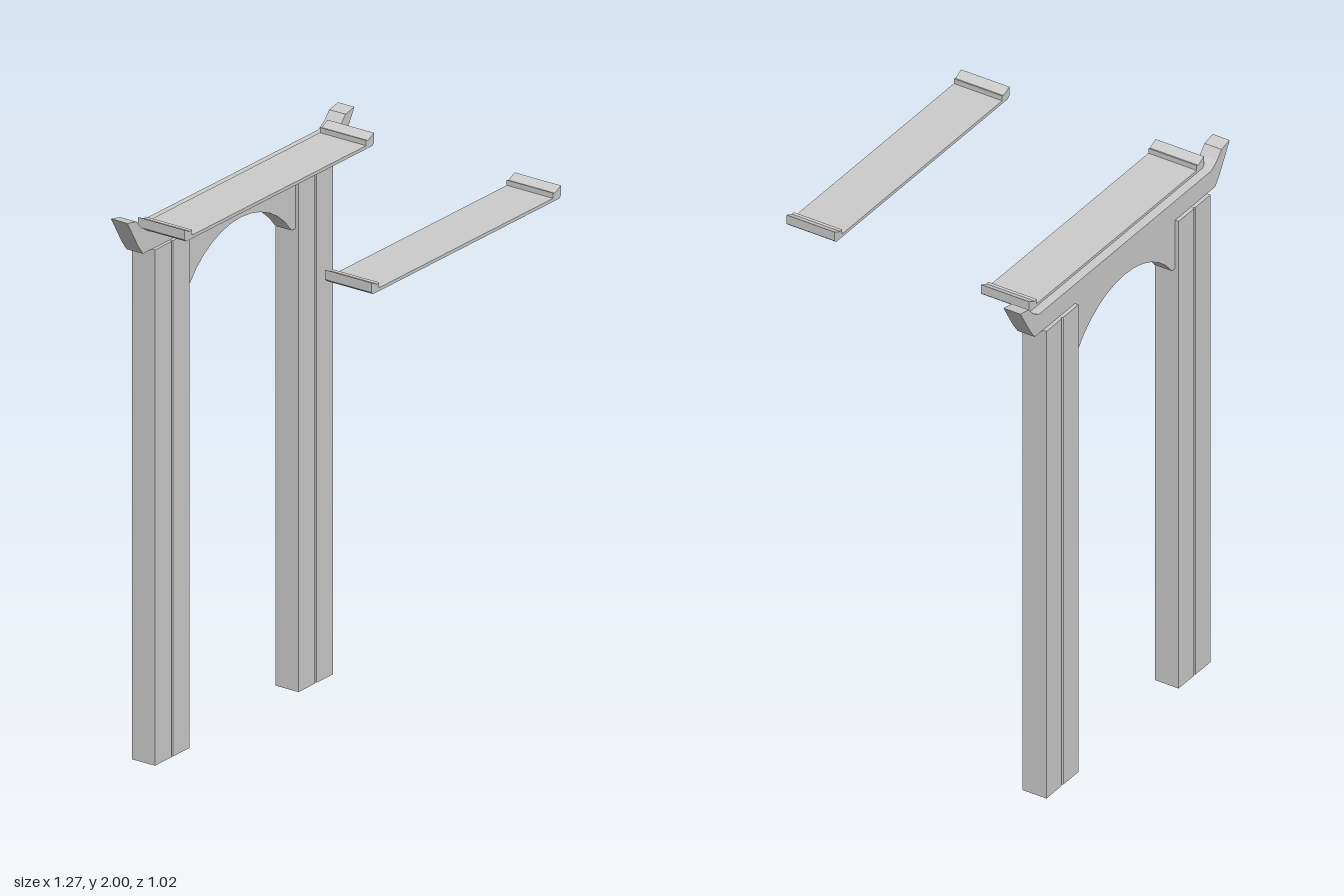
import * as THREE from 'three';

const material = new THREE.MeshStandardMaterial({ color: 0xcccccc, flatShading: true });

const toShape = (pts) => new THREE.Shape(pts.map(([x, y]) => new THREE.Vector2(x, y)));

// Full outline from its +x half, mirrored across x = 0
const mirrored = (half) => [...half, ...half.slice().reverse().filter(([x]) => x !== 0).map(([x, y]) => [-x, y])];

function addPart(parent, name, geometry) {
  const mesh = new THREE.Mesh(geometry, material);
  mesh.name = name;
  parent.add(mesh);
  return mesh;
}

const extrude = (pts, depth) => new THREE.ExtrudeGeometry(toShape(pts), { depth, bevelEnabled: false });

// Keep every triangle except those lying on the ground
function openBottom(geometry) {
  const p = geometry.attributes.position;
  const kept = [];
  for (let i = 0; i < p.count; i += 3) {
    if (Math.max(p.getY(i), p.getY(i + 1), p.getY(i + 2)) < 1e-4) continue;
    for (let k = i; k < i + 3; k++) kept.push(p.getX(k), p.getY(k), p.getZ(k));
  }
  const open = new THREE.BufferGeometry();
  open.setAttribute('position', new THREE.Float32BufferAttribute(kept, 3));
  open.computeVertexNormals();
  return open;
}

// Hollow post with a narrow groove down its front and back
function pillarGeometry() {
  const w = 0.0975, d = 0.0475, g = 0.005, n = 0.008;
  const section = [
    [-w, -d], [-g, -d], [0, -d + n], [g, -d], [w, -d],
    [w, d], [g, d], [0, d - n], [-g, d], [-w, d],
  ];
  const geometry = extrude(section, 1.862);
  geometry.rotateX(-Math.PI / 2);
  return openBottom(geometry);
}

// Beam with upswept horns and a segmented arch cut below
function beamGeometry() {
  const half = [];
  const radius = 0.357, centreY = 1.455, sweep = Math.asin(0.285 / radius);
  for (let i = 0; i <= 6; i++) {
    const a = (sweep * i) / 6;
    half.push([radius * Math.sin(a), centreY + radius * Math.cos(a)]);
  }
  half.push(
    [0.307, 1.67], [0.307, 1.862], [0.55, 1.862],
    [0.578, 1.9], [0.637, 2], [0.587, 1.99], [0.56, 1.96], [0.525, 1.938],
  );
  return extrude(mirrored(half), 0.068);
}

// Thin roof plank with raised lips at both ends
function plankGeometry() {
  const half = [
    [0.522, 1.936], [0.532, 1.945], [0.532, 1.98],
    [0.505, 1.967], [0.497, 1.964], [0.488, 1.967], [0.488, 1.948],
  ];
  return extrude(mirrored(half), 0.193);
}

export function createModel() {
  const model = new THREE.Group();
  model.name = 'gateway';

  // Pillars
  const pillar = pillarGeometry();
  for (const [name, x] of [['leftPillar', 0.4025], ['rightPillar', -0.4025]]) {
    addPart(model, name, pillar).position.set(x, 0, -0.4625);
  }

  // Arched beam
  addPart(model, 'archedBeam', beamGeometry()).position.z = -0.496;

  // Roof planks: one on the beam, one standing clear in front
  const plank = plankGeometry();
  addPart(model, 'rearRoofPlank', plank).position.z = -0.462;
  addPart(model, 'frontRoofPlank', plank).position.z = 0.315;

  return model;
}
